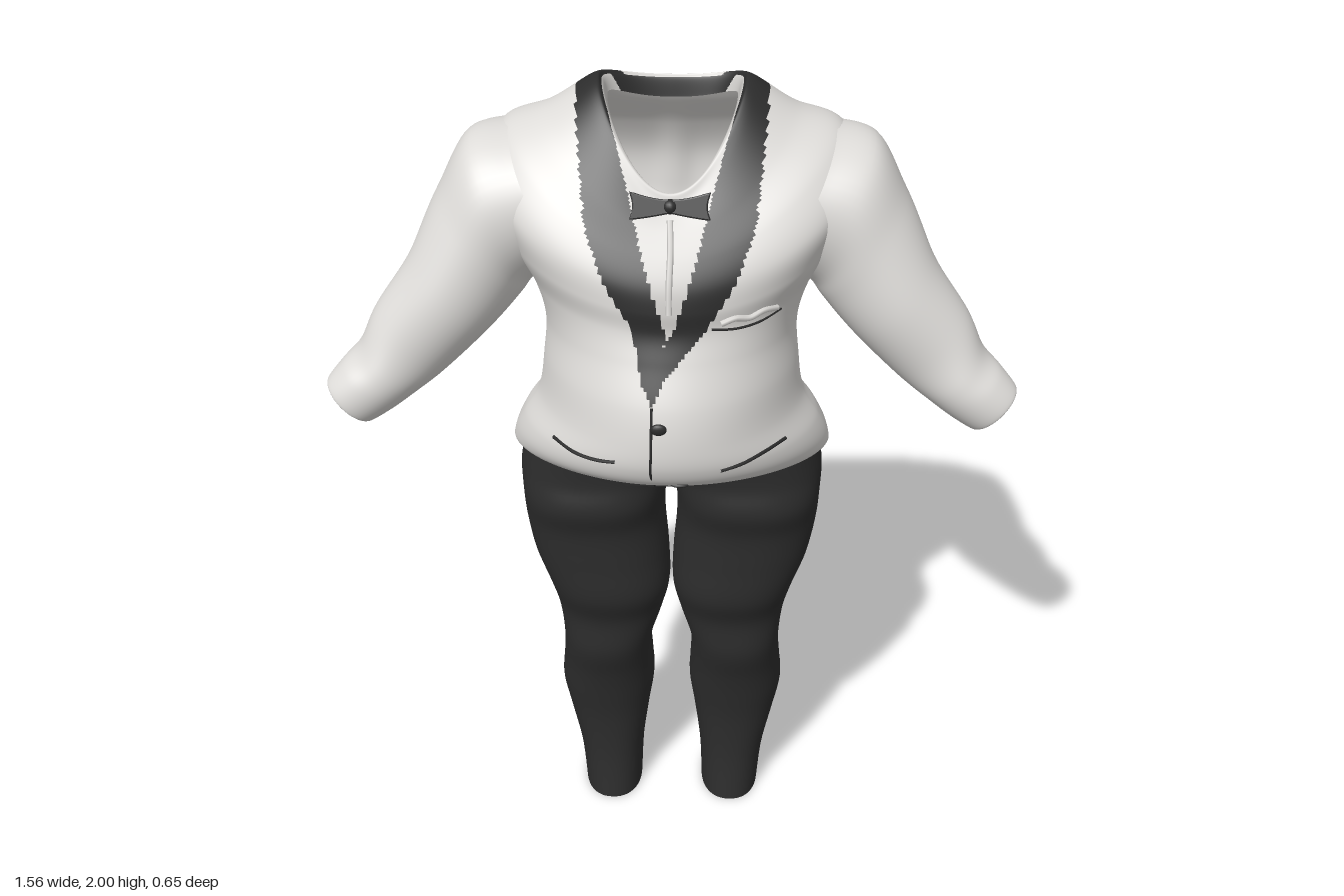
import * as THREE from 'three';

const material = (name, color) => {
  const m = new THREE.MeshStandardMaterial({ color, side: THREE.DoubleSide });
  m.name = name;
  return m;
};

// Smooth interpolation through rows of section values, t from 0 to 1
function sample(rows, t) {
  const n = rows.length - 1;
  const k = Math.min(Math.floor(t * n), n - 1), f = t * n - k;
  const at = i => rows[Math.max(0, Math.min(n, i))];
  return rows[0].map((_, c) => {
    const a = at(k - 1)[c], b = at(k)[c], d = at(k + 1)[c], e = at(k + 2)[c];
    return b + 0.5 * f * (d - a + f * (2 * a - 5 * b + 4 * d - e + f * (3 * (b - d) + e - a)));
  });
}

// Piecewise linear lookup in [key, value] pairs
function lookup(pairs, key) {
  if (key <= pairs[0][0]) return pairs[0][1];
  for (let i = 1; i < pairs.length; i++) {
    const [k0, v0] = pairs[i - 1], [k1, v1] = pairs[i];
    if (key <= k1) return v0 + (v1 - v0) * (key - k0) / (k1 - k0);
  }
  return pairs[pairs.length - 1][1];
}

const power = (v, e) => Math.sign(v) * Math.pow(Math.abs(v), e);

// Skin closed rings; pick(x, y, z, t) chooses the material group of each quad, -1 leaves it open
function loft(point, nv, na, flip = false, pick = null) {
  const pos = [], lists = [[], [], []];
  for (let j = 0; j <= nv; j++)
    for (let i = 0; i < na; i++) pos.push(...point(j / nv, i / na * Math.PI * 2));
  for (let j = 0; j < nv; j++) {
    for (let i = 0; i < na; i++) {
      const a = j * na + i, b = j * na + (i + 1) % na, c = a + na, d = b + na;
      const mid = k => (pos[a * 3 + k] + pos[b * 3 + k] + pos[c * 3 + k] + pos[d * 3 + k]) / 4;
      const list = lists[pick ? pick(mid(0), mid(1), mid(2), (j + 0.5) / nv) : 0];
      if (list) list.push(...(flip ? [a, b, c, b, d, c] : [a, c, b, b, c, d]));
    }
  }
  const g = new THREE.BufferGeometry();
  g.setAttribute('position', new THREE.Float32BufferAttribute(pos, 3));
  g.setIndex(lists.flat());
  let start = 0;
  if (pick) lists.forEach((l, m) => { g.addGroup(start, l.length, m); start += l.length; });
  g.computeVertexNormals();
  return g;
}

// Jacket rings: yFront, ySide, yBack, halfWidth, zFront, zSide, zBack
const JACKET = [
  [1.800, 1.960, 1.925, 0.140, 0.090, -0.09, -0.165],
  [1.815, 1.990, 1.965, 0.152, 0.105, -0.10, -0.175],
  [1.790, 1.995, 1.965, 0.175, 0.120, -0.10, -0.185],
  [1.750, 1.935, 1.900, 0.270, 0.160, -0.10, -0.225],
  [1.700, 1.895, 1.820, 0.370, 0.200, -0.10, -0.286],
  [1.650, 1.810, 1.740, 0.415, 0.228, -0.08, -0.322],
  [1.600, 1.690, 1.660, 0.375, 0.240, -0.06, -0.322],
  [1.550, 1.580, 1.580, 0.312, 0.243, -0.03, -0.302],
  [1.490, 1.490, 1.490, 0.285, 0.268, 0.00, -0.265],
  [1.400, 1.400, 1.400, 0.290, 0.310, 0.03, -0.220],
  [1.320, 1.310, 1.305, 0.305, 0.328, 0.04, -0.186],
  [1.255, 1.245, 1.250, 0.343, 0.325, 0.04, -0.225],
  [1.205, 1.190, 1.190, 0.367, 0.295, 0.02, -0.240],
  [1.170, 1.148, 1.143, 0.372, 0.225, 0.00, -0.225],
  [1.165, 1.150, 1.146, 0.338, 0.140, -0.02, -0.178],
];
function jacketPoint(t, a) {
  const [yf, ys, yb, rx, zf, zs, zb] = sample(JACKET, t);
  const s = Math.sin(a), c = Math.cos(a);
  // broad back, and a belly that narrows towards the front
  const e = c < 0 ? 0.85 : 1;
  const ez = c < 0 ? e : 1 + 0.25 * THREE.MathUtils.smoothstep(t, 0.5, 0.7);
  const x = rx * power(s, e);
  // shallow spine hollow between the shoulder blades
  const spine = c < 0 ? 0.014 * Math.exp(-((x / 0.035) ** 2) - ((t - 0.38) / 0.09) ** 2) : 0;
  return [x, ys + ((c > 0 ? yf : yb) - ys) * c * c,
    zs + ((c > 0 ? zf : zb) - zs) * power(Math.abs(c), ez) + spine];
}

// Opening of the jacket body inside each sleeve
function inArmhole(x, y, z) {
  const dx = Math.abs(x) - 0.375, dy = y - 1.718;
  const along = 0.913 * dx - 0.408 * dy;
  const across = 0.408 * dx + 0.913 * dy;
  return Math.abs(along) < 0.075 && Math.hypot(across, z + 0.068) < 0.138;
}

// Lapel edges: half width at each height
const INNER = [[1.53, 0], [1.6, 0.022], [1.7, 0.055], [1.8, 0.085], [1.9, 0.115], [1.98, 0.145]];
const OUTER = [[1.41, 0], [1.5, 0.045], [1.58, 0.09], [1.66, 0.14], [1.76, 0.18], [1.85, 0.192], [1.96, 0.205]];
function jacketColour(x, y, z, t) {
  if (inArmhole(x, y, z)) return -1;
  if (t < 1 / 14) return z < -0.14 ? 1 : 2;
  if (z < -0.16 || y < 1.41) return 0;
  const dx = Math.abs(x + 0.035 * THREE.MathUtils.clamp((1.56 - y) / 0.1, 0, 1));
  if (y > 1.53 && z > 0 && dx < lookup(INNER, y)) return 2;
  return dx < lookup(OUTER, y) ? 1 : 0;
}

// Sleeve rings: x, y, z, radius across, radius in z
const SLEEVE = [
  [0.290, 1.755, -0.080, 0.158, 0.182],
  [0.375, 1.718, -0.068, 0.175, 0.178],
  [0.425, 1.645, -0.042, 0.150, 0.160],
  [0.497, 1.540, 0.010, 0.123, 0.125],
  [0.590, 1.435, 0.040, 0.107, 0.100],
  [0.645, 1.370, 0.056, 0.086, 0.100],
  [0.690, 1.335, 0.078, 0.080, 0.084],
  [0.732, 1.302, 0.095, 0.070, 0.065],
  [0.726, 1.306, 0.095, 0.059, 0.055],
  [0.690, 1.335, 0.085, 0.058, 0.055],
];
const sleevePoint = side => (t, a) => {
  const [x, y, z, r, rz] = sample(SLEEVE, t);
  // rings turn from the shoulder slope to the forearm slope
  const slope = -0.42 - 0.33 * THREE.MathUtils.smoothstep(t, 0.1, 0.3);
  const ux = -Math.sin(slope), uy = Math.cos(slope);
  const c = r * Math.cos(a);
  return [side * (x + ux * c), y + uy * c, z + rz * Math.sin(a)];
};

// Trouser leg rings: y, inner x, outer x, zFront, zBack, squareness
const LEG = [
  [1.15, -0.050, 0.350, 0.150, -0.195, 0.75],
  [1.09, -0.015, 0.362, 0.148, -0.188, 0.78],
  [1.02, 0.012, 0.359, 0.160, -0.148, 0.83],
  [0.94, 0.014, 0.355, 0.140, -0.130, 0.88],
  [0.84, 0.006, 0.338, 0.138, -0.122, 0.9],
  [0.74, 0.004, 0.305, 0.138, -0.118, 0.9],
  [0.65, 0.022, 0.286, 0.110, -0.112, 0.9],
  [0.55, 0.050, 0.278, 0.110, -0.122, 0.9],
  [0.45, 0.050, 0.285, 0.082, -0.156, 0.9],
  [0.36, 0.048, 0.292, 0.064, -0.185, 0.9],
  [0.26, 0.062, 0.275, 0.051, -0.172, 0.9],
  [0.13, 0.078, 0.250, 0.052, -0.163, 0.9],
  [0.00, 0.084, 0.238, 0.070, -0.152, 0.9],
];
const legPoint = side => (t, a) => {
  const [y, xi, xo, zf, zb, e] = sample(LEG, t);
  return [side * (xi + xo) / 2 + (xo - xi) / 2 * power(Math.sin(a), e), y,
    (zf + zb) / 2 + (zf - zb) / 2 * power(Math.cos(a), e)];
};

// Trouser waist rings: y, halfWidth, zFront, zBack
const WAIST = [[1.24, 0.30, 0.14, -0.16], [1.17, 0.340, 0.15, -0.185], [1.10, 0.358, 0.147, -0.190]];

export function createModel() {
  const model = new THREE.Group();
  const cloth = material('jacket white', 0xdddbd8);
  const black = material('black cloth', 0x2c2c2c);
  const shirt = material('shirt white', 0xd0cecb);
  const add = (name, geometry, mat, parent = model) => {
    const mesh = new THREE.Mesh(geometry, mat);
    mesh.name = name;
    parent.add(mesh);
    return mesh;
  };

  // Jacket body with lapels and shirt front as separate faces
  const jacket = add('jacket', loft(jacketPoint, 180, 270, false, jacketColour), [cloth, black, shirt]);

  for (const side of [1, -1]) {
    const label = side > 0 ? 'left' : 'right';
    add(label + 'Sleeve', loft(sleevePoint(side), 72, 48, side > 0), cloth);
    add(label + 'TrouserLeg', loft(legPoint(side), 72, 48), black);
  }
  add('trouserWaist', loft((t, a) => {
    const [y, rx, zf, zb] = sample(WAIST, t);
    return [rx * power(Math.sin(a), 0.8), y, (zf + zb) / 2 + (zf - zb) / 2 * power(Math.cos(a), 0.8)];
  }, 12, 64), black);

  // Crotch and seat join between the legs
  const crotch = add('crotch', new THREE.SphereGeometry(1, 24, 16), black);
  crotch.scale.set(0.08, 0.04, 0.155);
  crotch.position.set(0, 1.125, -0.022);

  // Find the jacket surface at x, y from the front (1) or the back (-1)
  const ray = new THREE.Raycaster();
  const onJacket = (x, y, face = 1) => {
    ray.set(new THREE.Vector3(x, y, face), new THREE.Vector3(0, 0, -face));
    const hit = ray.intersectObject(jacket)[0];
    return hit ? hit.point : new THREE.Vector3(x, y, 0);
  };
  const seam = (name, points, radius, mat, face = 1) => {
    const curve = new THREE.CatmullRomCurve3(points.map(([x, y]) => onJacket(x, y, face)));
    add(name, new THREE.TubeGeometry(curve, 24, radius, 6), mat);
  };

  // Front edge, pockets, shirt placket and back vents
  seam('frontEdge', [[-0.035, 1.41], [-0.036, 1.36], [-0.037, 1.3], [-0.038, 1.25], [-0.03, 1.2]], 0.003, black);
  seam('rightPocket', [[-0.26, 1.268], [-0.21, 1.262], [-0.16, 1.264], [-0.115, 1.272]], 0.0045, black);
  seam('leftPocket', [[0.115, 1.252], [0.16, 1.258], [0.21, 1.268], [0.26, 1.272]], 0.0045, black);
  seam('chestPocket', [[0.09, 1.562], [0.14, 1.556], [0.19, 1.558], [0.24, 1.57]], 0.003, black);
  seam('pocketSquare', [[0.11, 1.573], [0.14, 1.582], [0.17, 1.576], [0.2, 1.586], [0.23, 1.58]], 0.008, cloth);
  seam('shirtPlacket', [[0, 1.77], [0.002, 1.72], [0, 1.66], [0, 1.6]], 0.007, cloth);
  for (const side of [1, -1])
    seam('backVent', [1.16, 1.2, 1.24, 1.27].map(y => [side * 0.28, y]), 0.005, black, -1);

  // Jacket buttons
  for (const [x, y, rx, ry] of [[-0.02, 1.365, 0.018, 0.014], [0.025, 1.208, 0.02, 0.005]]) {
    const button = add('button', new THREE.SphereGeometry(1, 16, 10), black);
    button.scale.set(rx, ry, 0.008);
    button.position.copy(onJacket(x, y));
  }

  // Bow tie: two flared wings and a knot
  const bow = new THREE.Group();
  bow.name = 'bowTie';
  bow.position.set(0, 1.797, 0.13);
  bow.rotation.x = -0.4;
  model.add(bow);
  const wing = new THREE.Shape();
  wing.moveTo(0, 0.011);
  wing.quadraticCurveTo(0.04, 0.012, 0.082, 0.027);
  wing.quadraticCurveTo(0.07, 0, 0.082, -0.025);
  wing.quadraticCurveTo(0.04, -0.02, 0, -0.011);
  const wingGeometry = new THREE.ExtrudeGeometry(wing, { depth: 0.012, bevelSize: 0.003, bevelThickness: 0.003, bevelSegments: 2 });
  for (const side of [0, 1]) {
    const mesh = add('bowWing', wingGeometry, black, bow);
    mesh.rotation.y = side * Math.PI;
    mesh.position.z = side ? 0.006 : -0.006;
  }
  add('bowKnot', new THREE.SphereGeometry(0.016, 16, 12), black, bow);

  return model;
}
